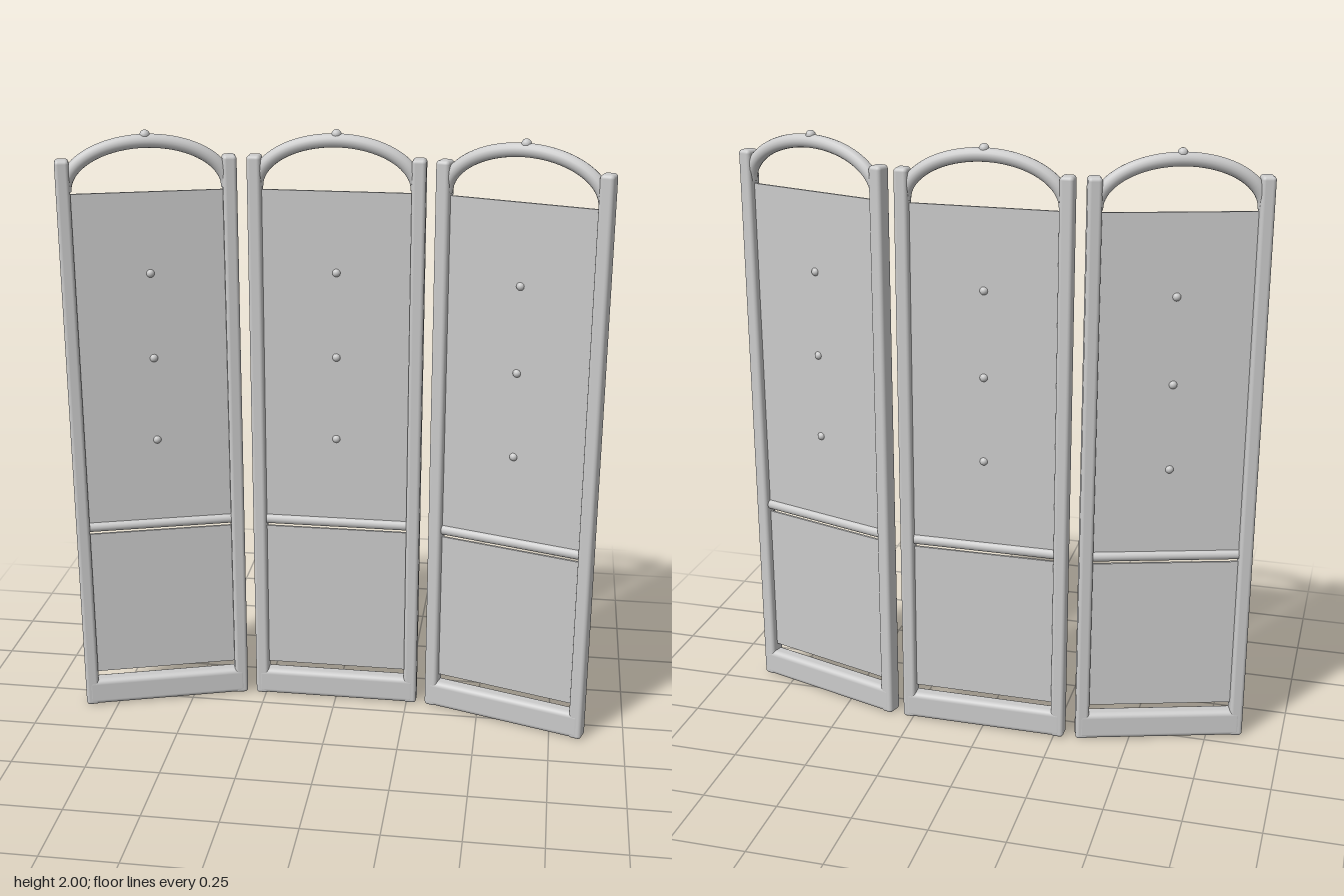
import * as THREE from 'three';
import { RoundedBoxGeometry } from 'three/addons/geometries/RoundedBoxGeometry.js';

const material = new THREE.MeshStandardMaterial({ color: 0xcccccc });

function add(parent, name, geometry, x = 0, y = 0, z = 0) {
  const mesh = new THREE.Mesh(geometry, material);
  mesh.name = name;
  mesh.position.set(x, y, z);
  parent.add(mesh);
  return mesh;
}

// Half-ellipse whose ends run down into the posts
function archGeometry() {
  const points = [];
  for (let i = 0; i <= 24; i++) {
    const a = Math.PI * i / 24;
    points.push(new THREE.Vector3(-0.257 * Math.cos(a), 1.815 + 0.15 * Math.sin(a), 0));
  }
  return new THREE.TubeGeometry(new THREE.CatmullRomCurve3(points), 48, 0.022, 16);
}

// One framed leaf of the folding screen
function createLeaf(name) {
  const leaf = new THREE.Group();
  leaf.name = name;

  // Frame
  for (const side of [-1, 1]) {
    add(leaf, side > 0 ? 'leftPost' : 'rightPost',
      new RoundedBoxGeometry(0.045, 1.915, 0.055, 4, 0.012), side * 0.262, 0.9575);
  }
  add(leaf, 'bottomRail', new RoundedBoxGeometry(0.56, 0.095, 0.056, 4, 0.018), 0, 0.0475);
  add(leaf, 'middleRail', new THREE.CylinderGeometry(0.017, 0.017, 0.5, 16), 0, 0.668)
    .rotation.z = Math.PI / 2;
  add(leaf, 'arch', archGeometry());
  add(leaf, 'archKnob', new THREE.SphereGeometry(0.016, 16, 12), 0, 1.984);

  // Infill boards
  add(leaf, 'lowerPanel', new THREE.BoxGeometry(0.5, 0.522, 0.008), 0, 0.381);
  add(leaf, 'upperPanel', new THREE.BoxGeometry(0.5, 1.145, 0.008), 0, 1.2325);

  // Studs showing on both faces
  for (const y of [0.97, 1.255, 1.54]) {
    add(leaf, 'stud', new THREE.SphereGeometry(0.014, 16, 12), 0, y);
  }
  return leaf;
}

export function createModel() {
  const model = new THREE.Group();
  model.name = 'foldingScreen';

  // Leaves lean forward very slightly as one piece
  const screen = new THREE.Group();
  screen.name = 'screen';
  screen.rotation.x = 0.006;
  model.add(screen);

  const centre = createLeaf('centreLeaf');
  centre.position.z = -0.09;
  screen.add(centre);

  for (const side of [-1, 1]) {
    const leaf = createLeaf(side > 0 ? 'leftLeaf' : 'rightLeaf');
    leaf.position.set(side * 0.592, 0, -0.003);
    leaf.rotation.y = -side * 0.305;
    screen.add(leaf);
  }
  return model;
}
